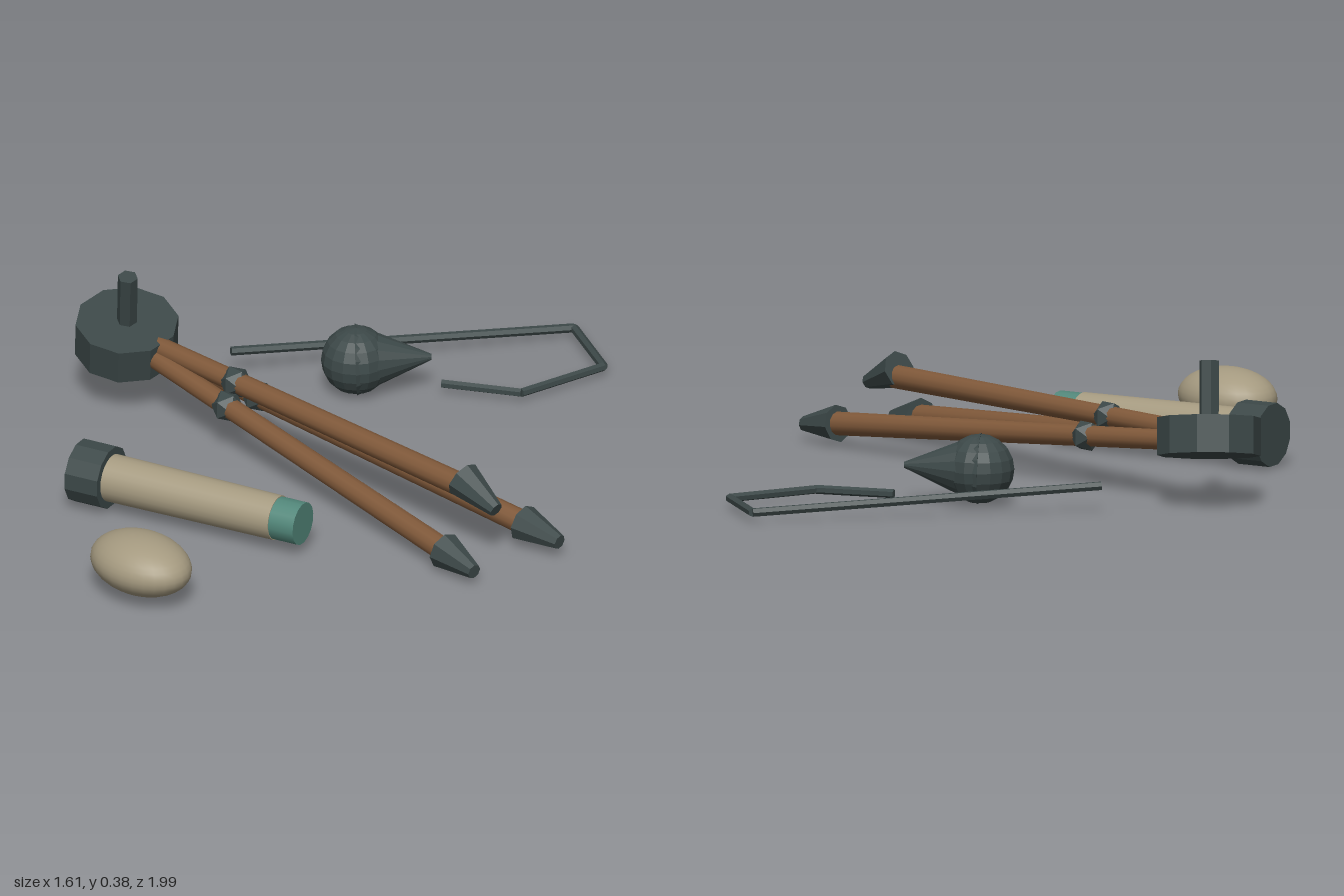
import * as THREE from 'three';

const V = (x, y, z) => new THREE.Vector3(x, y, z);
const UP = V(0, 1, 0);

function mat(name, color, flatShading = false) {
  const m = new THREE.MeshStandardMaterial({ color, flatShading });
  m.name = name;
  return m;
}

// Cylinder or cone frustum running from point a to point b
function rod(name, a, b, ra, rb, sides, material) {
  const dir = b.clone().sub(a);
  const mesh = new THREE.Mesh(new THREE.CylinderGeometry(rb, ra, dir.length(), sides), material);
  mesh.position.copy(a).add(b).multiplyScalar(0.5);
  mesh.quaternion.setFromUnitVectors(UP, dir.normalize());
  mesh.name = name;
  return mesh;
}

function ball(name, center, geometry, material) {
  const mesh = new THREE.Mesh(geometry, material);
  mesh.position.copy(center);
  mesh.name = name;
  return mesh;
}

export function createModel() {
  const iron = mat('dark iron', 0x3c4848, true);
  const wood = mat('brown wood', 0x80593a);
  const canvas = mat('tan canvas', 0xa59a80);
  const glass = mat('green glass', 0x52877a);

  const model = new THREE.Group();
  model.name = 'surveyKit';

  // Folded tripod: tilted head plate with a post
  const tripod = new THREE.Group();
  tripod.name = 'tripod';
  model.add(tripod);
  const head = V(-0.668, 0.185, 0.095);
  const axis = V(0.18, 1, 0.16).normalize();
  const along = (d) => head.clone().addScaledVector(axis, d);
  tripod.add(rod('headPlate', along(-0.05), along(0.05), 0.137, 0.137, 10, iron));
  tripod.add(rod('headPost', along(0.03), along(0.2), 0.027, 0.027, 6, iron));

  // Legs: start, shoe base, shoe tip, collar x
  const legs = [
    ['leftLeg', V(-0.62, 0.17, 0.07), V(0.67, 0.063, -0.037), V(0.797, 0.047, -0.046), -0.24],
    ['topLeg', V(-0.62, 0.19, 0.09), V(0.59, 0.184, 0.093), V(0.7, 0.157, 0.093), -0.268],
    ['rightLeg', V(-0.62, 0.17, 0.102), V(0.63, 0.058, 0.216), V(0.752, 0.042, 0.227), -0.255],
  ];
  for (const [name, start, end, tip, collarX] of legs) {
    const leg = new THREE.Group();
    leg.name = name;
    leg.add(rod('shaft', start, end, 0.027, 0.032, 12, wood));
    const base = name === 'topLeg' ? V(0.575, 0.205, 0.093) : end;
    leg.add(rod('shoe', base, tip, 0.05, 0.02, 8, iron));
    const t = (collarX - start.x) / (end.x - start.x);
    leg.add(ball('collar', start.clone().lerp(end, t), new THREE.IcosahedronGeometry(0.044, 0), iron));
    tripod.add(leg);
  }

  // Map case: capped tube with a glass end
  const mapCase = new THREE.Group();
  mapCase.name = 'tubeCase';
  const c0 = V(-0.335, 0.09, 0.606), c1 = V(0.303, 0.09, 0.414);
  const at = (t) => c0.clone().lerp(c1, t);
  mapCase.add(rod('cap', at(0), at(0.145), 0.085, 0.085, 12, iron));
  mapCase.add(rod('tube', at(0.1), at(0.89), 0.064, 0.06, 24, canvas));
  mapCase.add(rod('glassEnd', at(0.89), at(1), 0.058, 0.058, 16, glass));
  model.add(mapCase);

  // Smooth oval stone
  const stone = ball('ovalStone', V(0.172, 0.098, 0.885), new THREE.SphereGeometry(1, 28, 18), canvas);
  stone.scale.set(0.153, 0.078, 0.112);
  model.add(stone);

  // Plumb bob: round top and pointed cone
  const bob = new THREE.Group();
  bob.name = 'plumbBob';
  const c = V(-0.263, 0.097, -0.352);
  bob.add(ball('bobBall', c, new THREE.SphereGeometry(0.092, 16, 10), iron));
  bob.add(rod('bobPoint', c, V(-0.122, 0.105, -0.492), 0.095, 0.008, 16, iron));
  model.add(bob);

  // Bent cord lying on the ground
  const cord = new THREE.Group();
  cord.name = 'cord';
  const path = [V(-0.565, 0.072, -0.19), V(-0.084, 0.027, -0.985), V(0.13, 0.027, -0.88),
    V(0.084, 0.027, -0.62), V(-0.102, 0.027, -0.51)];
  for (let i = 1; i < path.length; i++) {
    cord.add(rod('cordSegment', path[i - 1], path[i], 0.012, 0.012, 6, iron));
  }
  model.add(cord);

  return model;
}
